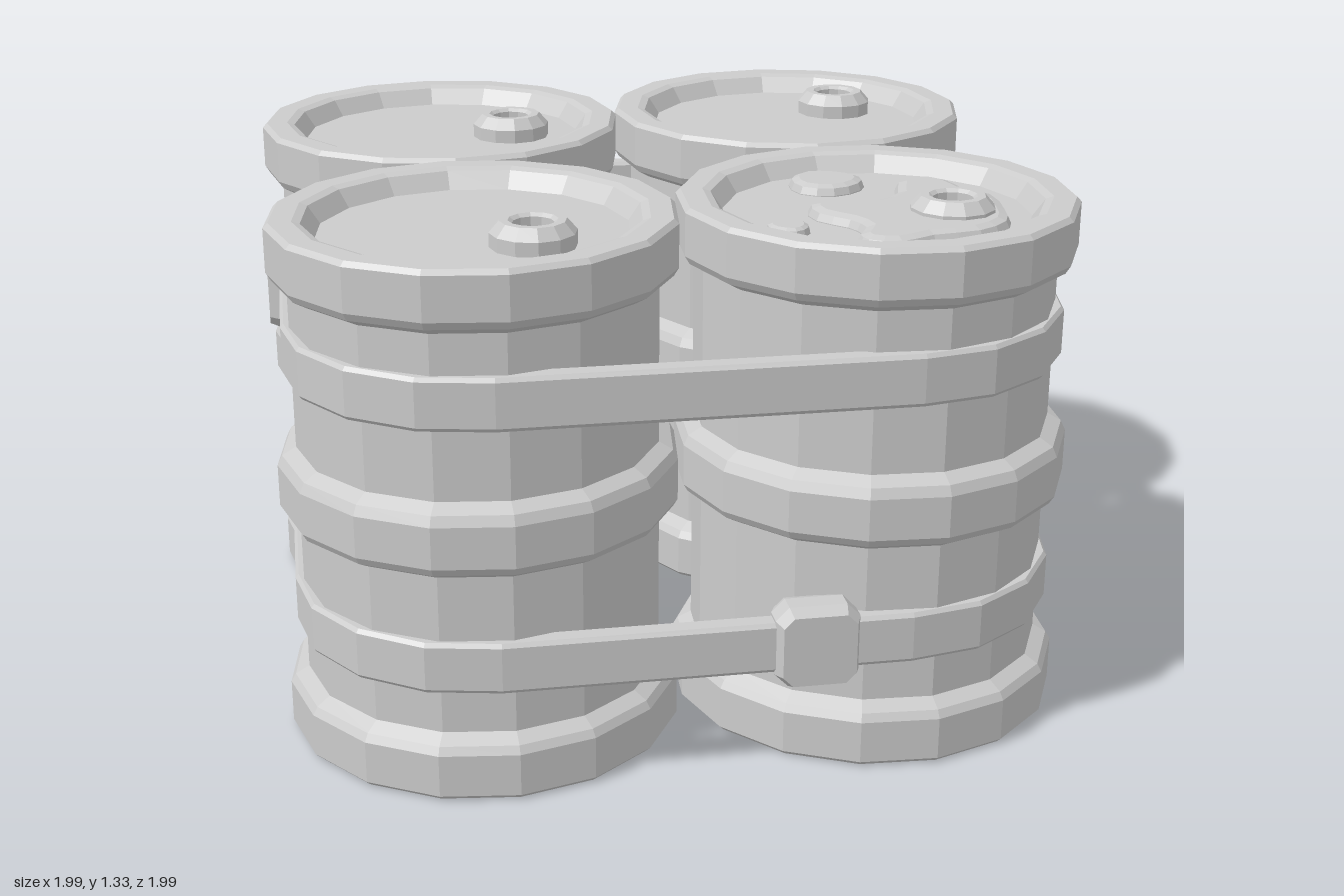
import * as THREE from 'three';

const material = new THREE.MeshStandardMaterial({ color: 0xcccccc, flatShading: true });
const C = 0.497; // barrel centre offset
const LID = 1.27; // height of the recessed lid

function addMesh(parent, name, geometry) {
  const mesh = new THREE.Mesh(geometry, material);
  mesh.name = name;
  parent.add(mesh);
  return mesh;
}

const lathe = (points, sides) =>
  new THREE.LatheGeometry(points.map(([r, y]) => new THREE.Vector2(r, y)), sides);

// Drum with three raised hoops and recessed ends
const barrelGeometry = lathe([
  [0, 0.05], [0.38, 0.05], [0.415, 0.005], [0.43, 0], [0.485, 0], [0.497, 0.012],
  [0.497, 0.12], [0.485, 0.14], [0.45, 0.16],
  [0.45, 0.565], [0.485, 0.585], [0.497, 0.605], [0.497, 0.71], [0.485, 0.735], [0.45, 0.755],
  [0.45, 1.16], [0.485, 1.18], [0.497, 1.2], [0.497, 1.308], [0.485, 1.32],
  [0.43, 1.32], [0.41, 1.313], [0.38, LID], [0, LID],
], 16);

// Raised filler ring with a sunken centre
const bungGeometry = lathe([
  [0.105, 0], [0.105, 0.035], [0.08, 0.063], [0.06, 0.063], [0.05, 0.055], [0.05, 0.02], [0, 0.02],
], 12);

// Octagonal block, bevelled on every edge; its depth runs along z
function buckleGeometry() {
  const w = 0.09, h = 0.09, c = 0.025;
  const shape = new THREE.Shape([
    [-w + c, -h], [w - c, -h], [w, -h + c], [w, h - c],
    [w - c, h], [-w + c, h], [-w, h - c], [-w, -h + c],
  ].map(([x, y]) => new THREE.Vector2(x, y)));
  return new THREE.ExtrudeGeometry(shape, {
    depth: 0.05, bevelEnabled: true, bevelThickness: 0.035, bevelSize: 0.014, bevelSegments: 1,
  }).translate(0, 0, -0.025);
}

// Points of a loop wrapped round the four drums
function loopPoints(radius) {
  const points = [];
  [[1, 1], [-1, 1], [-1, -1], [1, -1]].forEach(([sx, sy], corner) => {
    for (let i = 0; i <= 4; i++) {
      const a = (corner + i / 4) * Math.PI / 2;
      points.push(new THREE.Vector2(sx * C + radius * Math.cos(a), sy * C + radius * Math.sin(a)));
    }
  });
  return points;
}

function strapGeometry() {
  const shape = new THREE.Shape(loopPoints(0.462));
  shape.holes.push(new THREE.Path(loopPoints(0.422)));
  return new THREE.ExtrudeGeometry(shape, {
    depth: 0.11, bevelEnabled: true, bevelThickness: 0.01, bevelSize: 0.008, bevelSegments: 1,
  }).rotateX(-Math.PI / 2).translate(0, -0.055, 0);
}

// Softly domed puddle from an outline in x, z
function puddleGeometry(outline, height, inset) {
  const curve = new THREE.CatmullRomCurve3(
    outline.map(([x, z]) => new THREE.Vector3(x, -z, 0)), true);
  const shape = new THREE.Shape(
    curve.getPoints(outline.length * 2).slice(0, -1).map((p) => new THREE.Vector2(p.x, p.y)));
  return new THREE.ExtrudeGeometry(shape, {
    depth: 0.002, bevelEnabled: true, bevelThickness: height, bevelSize: inset,
    bevelOffset: -inset, bevelSegments: 2,
  }).rotateX(-Math.PI / 2).translate(0, LID, 0);
}

export function createModel() {
  const model = new THREE.Group();
  model.name = 'strappedBarrels';

  // Four barrels, each turned a little differently, with its filler bung
  [
    { name: 'backLeft', x: C, z: -C, turn: -0.05, bung: [0.665, -0.595] },
    { name: 'backRight', x: -C, z: -C, turn: 0, bung: [-0.305, -0.455] },
    { name: 'frontLeft', x: C, z: C, turn: 0.14, bung: [0.66, 0.595] },
    { name: 'frontRight', x: -C, z: C, turn: 0.07, bung: [-0.37, 0.645] },
  ].forEach(({ name, x, z, turn, bung }) => {
    const barrel = addMesh(model, name + 'Barrel', barrelGeometry);
    barrel.position.set(x, 0, z);
    barrel.rotation.y = turn;
    addMesh(model, name + 'Bung', bungGeometry).position.set(bung[0], LID, bung[1]);
  });

  // Two straps
  const strap = strapGeometry();
  addMesh(model, 'upperStrap', strap).position.y = 0.995;
  addMesh(model, 'lowerStrap', strap).position.y = 0.335;

  // Buckles: upper strap on the sides, lower strap at front and back
  const buckle = buckleGeometry();
  [
    ['upperLeftBuckle', 0.935, 0.995, 0, Math.PI / 2],
    ['upperRightBuckle', -0.937, 0.995, -0.045, Math.PI / 2],
    ['lowerFrontBuckle', 0.26, 0.335, 0.937, 0],
    ['lowerBackBuckle', 0.062, 0.335, -0.937, 0],
  ].forEach(([name, x, y, z, turn]) => {
    const mesh = addMesh(model, name, buckle);
    mesh.position.set(x, y, z);
    mesh.rotation.y = turn;
  });

  // Spilled liquid on the front left lid
  addMesh(model, 'spill', puddleGeometry([
    [0.68, 0.25], [0.74, 0.3], [0.76, 0.38], [0.81, 0.45], [0.8, 0.6], [0.77, 0.7], [0.68, 0.77],
    [0.56, 0.79], [0.47, 0.83], [0.39, 0.8], [0.38, 0.75], [0.41, 0.69], [0.39, 0.63],
    [0.33, 0.56], [0.33, 0.47], [0.4, 0.455], [0.5, 0.46], [0.57, 0.4], [0.6, 0.3],
  ], 0.025, 0.03));
  addMesh(model, 'largeDrop', puddleGeometry([
    [0.39, 0.16], [0.47, 0.17], [0.53, 0.23], [0.51, 0.3], [0.43, 0.345], [0.35, 0.31], [0.34, 0.22],
  ], 0.025, 0.025));
  addMesh(model, 'smallDrop', puddleGeometry([
    [0.24, 0.585], [0.29, 0.61], [0.29, 0.66], [0.25, 0.695], [0.2, 0.67], [0.19, 0.62],
  ], 0.02, 0.015));

  return model;
}
